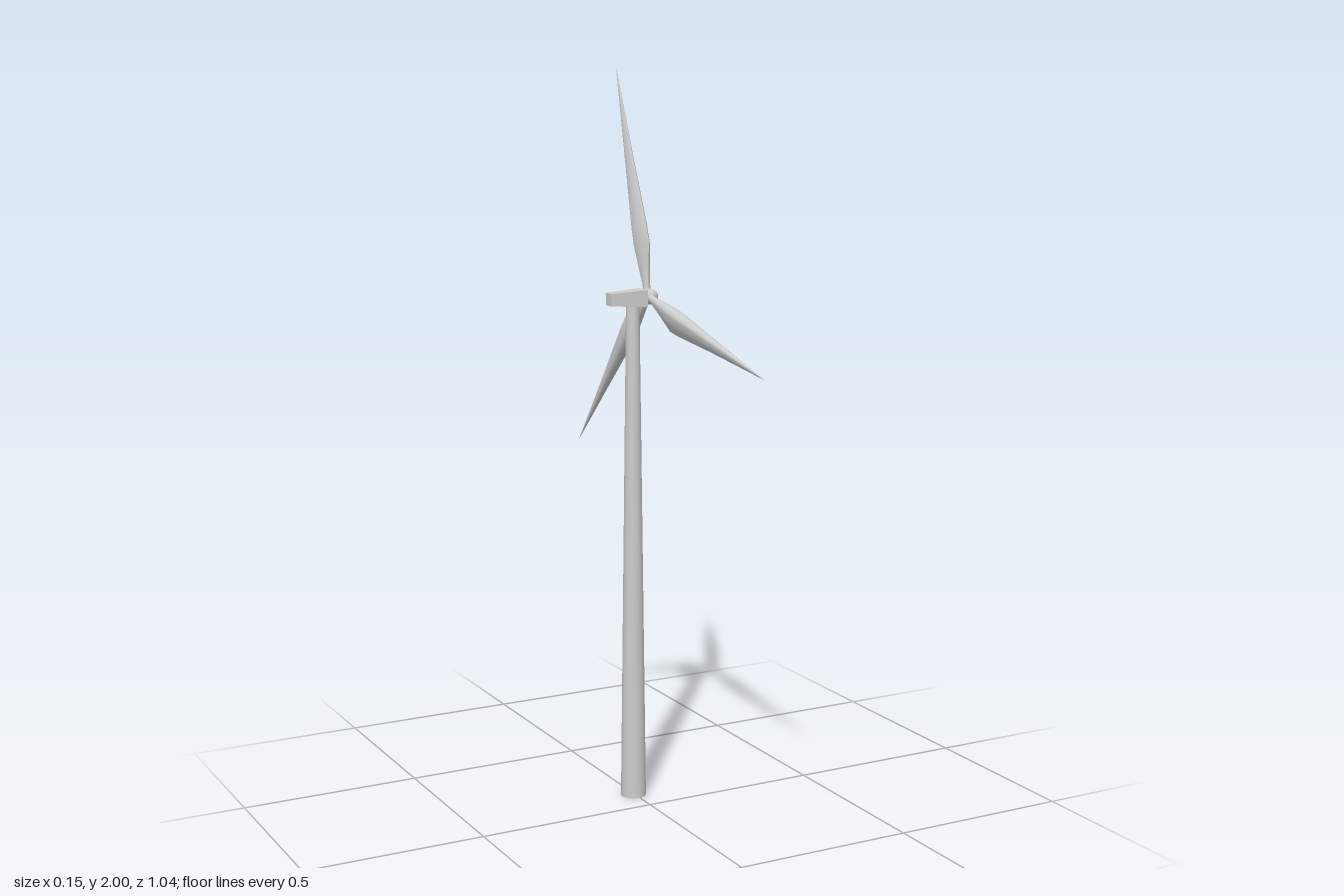
import * as THREE from 'three';

const grey = new THREE.MeshStandardMaterial({ color: 0xcccccc });
const AXIS_Z = -0.094; // tower and rotor share this plane
const HUB_Y = 1.4;

function add(parent, name, geometry) {
  const mesh = new THREE.Mesh(geometry, grey);
  mesh.name = name;
  parent.add(mesh);
  return mesh;
}

// Blade along +y: round at the root, teardrop section further out, with a sharp trailing edge on +z
function bladeGeometry() {
  const stations = [
    // along, thickness, lead, tail, sharpness
    [0.0, 0.010, 0.010, 0.010, 0],
    [0.035, 0.010, 0.011, 0.012, 0],
    [0.09, 0.015, 0.014, 0.031, 0.6],
    [0.14, 0.019, 0.017, 0.050, 1],
    [0.19, 0.019, 0.017, 0.047, 1],
    [0.36, 0.0115, 0.0105, 0.027, 1],
    [0.625, 0.0006, 0.0006, 0.0006, 1],
  ];
  const sides = 20;
  const row = sides + 1;
  const positions = [];
  const index = [];
  stations.forEach(([y, thick, lead, tail, sharp], i) => {
    for (let j = 0; j <= sides; j++) {
      const t = (j / sides) * Math.PI * 2;
      const s = Math.sin(t);
      const c = Math.cos(t);
      const x = thick * s * (c > 0 ? Math.abs(s) ** sharp : 1);
      positions.push(x, y, c * (c > 0 ? tail : lead));
      if (i > 0 && j < sides) {
        const a = (i - 1) * row + j;
        const d = a + row;
        index.push(a, a + 1, d + 1, a, d + 1, d);
      }
    }
  });
  const geometry = new THREE.BufferGeometry();
  geometry.setAttribute('position', new THREE.Float32BufferAttribute(positions, 3));
  geometry.setIndex(index);
  geometry.computeVertexNormals();
  return geometry;
}

// Box whose section shrinks towards the rear (-x)
function nacelleGeometry() {
  const geometry = new THREE.BoxGeometry(0.105, 0.046, 0.052);
  const p = geometry.attributes.position;
  for (let i = 0; i < p.count; i++) {
    if (p.getX(i) < 0) {
      p.setY(i, p.getY(i) * 0.72);
      p.setZ(i, p.getZ(i) * 0.66);
    }
  }
  geometry.computeVertexNormals();
  return geometry;
}

export function createModel() {
  const model = new THREE.Group();
  model.name = 'windTurbine';

  // Tapered tower
  const tower = add(model, 'tower', new THREE.CylinderGeometry(0.018, 0.035, 1.385, 24));
  tower.position.set(-0.003, 1.385 / 2, AXIS_Z);

  // Machine housing on top of the tower
  const nacelle = add(model, 'nacelle', nacelleGeometry());
  nacelle.position.set(-0.0225, 1.398, AXIS_Z);

  // Rotor turning about the x axis
  const rotor = new THREE.Group();
  rotor.name = 'rotor';
  rotor.position.set(0.043, HUB_Y, AXIS_Z);
  model.add(rotor);

  // Rounded hub with its nose towards +x
  const profile = [[0, -0.018], [0.021, -0.018], [0.022, 0.006], [0.018, 0.018], [0.01, 0.026], [0, 0.029]];
  const hub = add(rotor, 'hub', new THREE.LatheGeometry(profile.map(([r, y]) => new THREE.Vector2(r, y)), 20));
  hub.rotation.z = -Math.PI / 2;

  // Three equal blades
  const blade = bladeGeometry();
  for (let i = 0; i < 3; i++) {
    add(rotor, 'blade' + (i + 1), blade).rotation.x = -0.297 + (i * Math.PI * 2) / 3;
  }

  return model;
}
